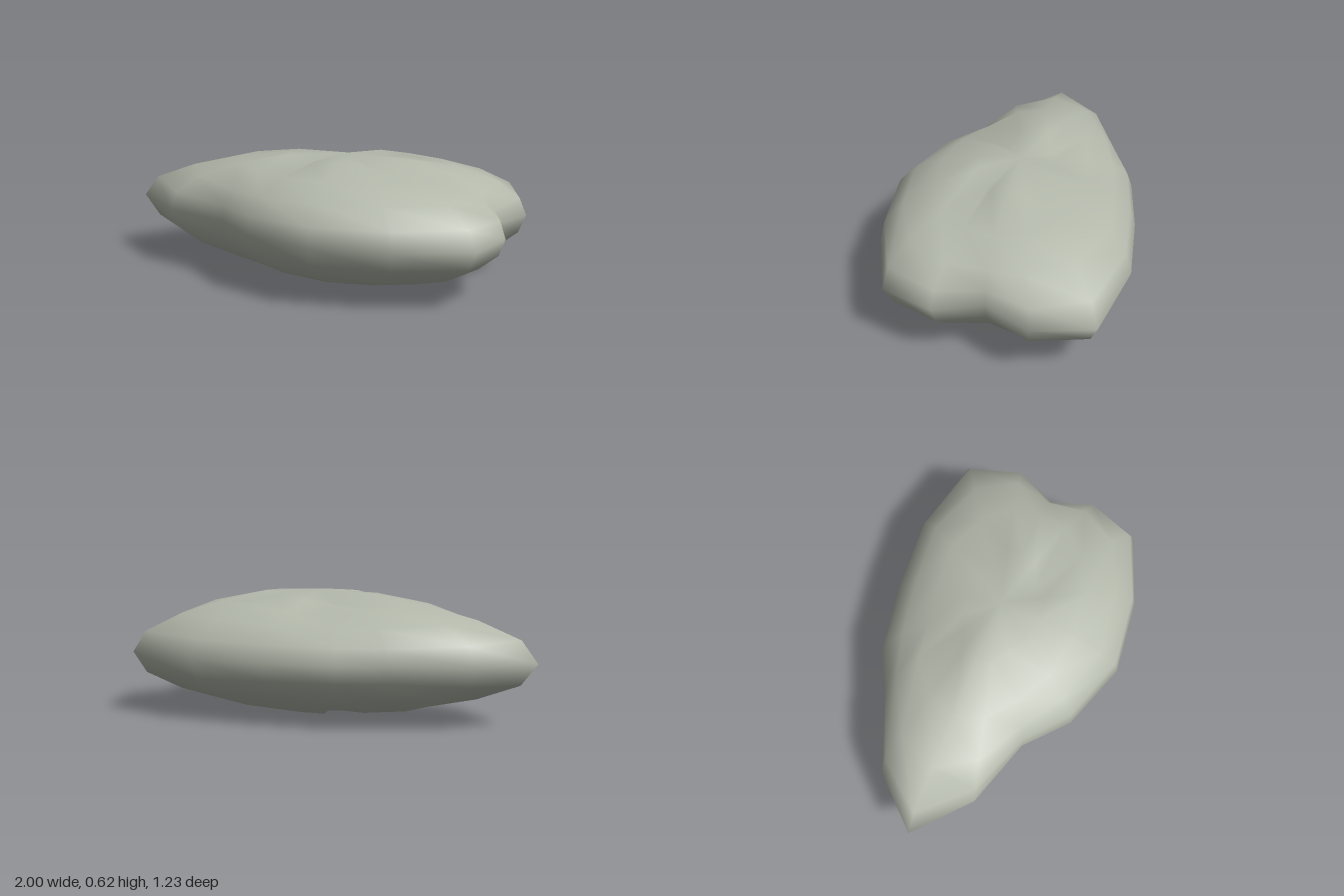
import * as THREE from 'three';
import { mergeVertices } from 'three/addons/utils/BufferGeometryUtils.js';

// Plan outline of the widest ring, from the -x tip round through +z, as [x, z]
const OUTLINE = [
  [-1, -0.03], [-0.74, 0.2], [-0.4, 0.31], [-0.2, 0.49],
  [0.14, 0.61], [0.52, 0.57], [0.87, 0.44], [0.96, 0.19],
  [0.88, -0.03], [1, -0.25], [0.93, -0.53], [0.52, -0.62],
  [0.14, -0.59], [-0.2, -0.53], [-0.42, -0.42], [-0.78, -0.27],
];
const CENTRE = { x: 0.14, y: 0.308, z: -0.025 };
const DEPTH = 0.64; // half depth of the base ellipsoid, whose half width is 1
const SEGMENTS = OUTLINE.length;
const RINGS = 10;

// Radius factor of a point: the push of the outline fades towards the poles
function radiusFactor(push, s, ring, up) {
  if (ring === 0 || ring === RINGS) return 1;
  // short folds radiating from each pole
  if ((ring === 1 || ring === RINGS - 1) && s % 4 === 2) return 0.82;
  // the shallow hollow at the back stays open up to the top
  if (up > 0 && (s === 12 || s === 13)) return push;
  const rate = push > 1 ? 2 : 1.1;
  return THREE.MathUtils.lerp(push, 1, Math.min(1, rate * up * up));
}

// Flattened stone: an ellipsoid whose meridians are pushed in or out
function lobedStone() {
  const sphere = new THREE.SphereGeometry(1, SEGMENTS, RINGS);
  const position = sphere.attributes.position;
  for (let ring = 0; ring <= RINGS; ring++) {
    const phi = (ring / RINGS) * Math.PI;
    const up = Math.cos(phi), out = Math.sin(phi);
    for (let i = 0; i <= SEGMENTS; i++) {
      const s = i % SEGMENTS;
      const dx = OUTLINE[s][0] - CENTRE.x, dz = OUTLINE[s][1] - CENTRE.z;
      const push = Math.hypot(dx, dz / DEPTH);
      const scale = radiusFactor(push, s, ring, up);
      const reach = (scale * out) / push;
      // the upper half of the front side leans forward
      const lean = 1 + 0.12 * Math.max(0, dz) * up * out;
      position.setXYZ(
        ring * (SEGMENTS + 1) + i,
        CENTRE.x + dx * reach,
        CENTRE.y * (1 + up * scale),
        CENTRE.z + dz * reach * lean,
      );
    }
  }
  // join the seam so that it shades smoothly
  sphere.deleteAttribute('uv');
  sphere.deleteAttribute('normal');
  const geometry = mergeVertices(sphere);
  geometry.computeVertexNormals();
  return geometry;
}

export function createModel() {
  const group = new THREE.Group();
  group.name = 'rock';
  const material = new THREE.MeshStandardMaterial({ color: 0xb4b9ac });
  const stone = new THREE.Mesh(lobedStone(), material);
  stone.name = 'stone';
  group.add(stone);
  return group;
}
